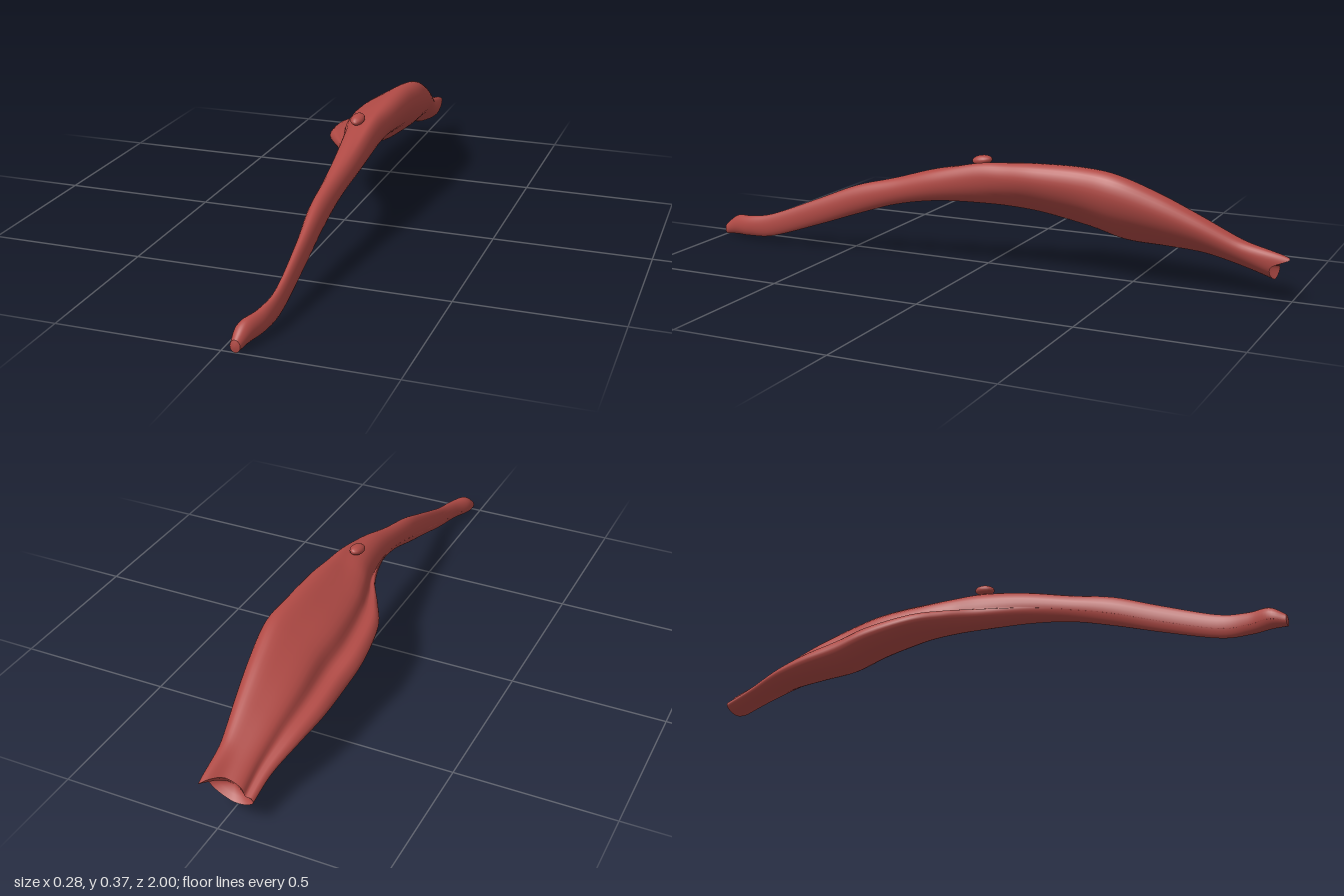
import * as THREE from 'three';

// Stations from the tendon tip to the rear end: z, xMin, xMax, yMin, yMax, belly amount (0 oval, 1 full belly)
const STATIONS = [
  [1.0, 0.026, 0.056, 0.003, 0.04, 0],
  [0.95, 0.022, 0.072, 0.008, 0.075, 0],
  [0.88, 0.048, 0.09, 0.014, 0.085, 0],
  [0.78, 0.063, 0.096, 0.027, 0.105, 0],
  [0.6, 0.055, 0.096, 0.085, 0.175, 0],
  [0.45, 0.04, 0.096, 0.137, 0.235, 0],
  [0.3, 0.035, 0.1, 0.185, 0.275, 0],
  [0.15, 0.018, 0.112, 0.21, 0.322, 0.15],
  [0.0, -0.022, 0.116, 0.21, 0.358, 0.5],
  [-0.1, -0.075, 0.12, 0.2, 0.365, 0.8],
  [-0.2, -0.12, 0.125, 0.183, 0.37, 1],
  [-0.35, -0.14, 0.128, 0.152, 0.372, 1],
  [-0.47, -0.135, 0.134, 0.124, 0.36, 1],
  [-0.6, -0.13, 0.116, 0.118, 0.312, 1],
  [-0.72, -0.113, 0.094, 0.112, 0.255, 1],
  [-0.84, -0.09, 0.072, 0.088, 0.195, 0.9],
  [-0.94, -0.085, 0.062, 0.058, 0.153, 0.8],
];

// Belly cross-section in a unit box: rolled rim on the right-hand edge, groove, high left crest, keel below
const BELLY = [
  [-1, -0.62], [-0.88, -0.3], [-0.55, -0.2], [-0.35, 0.27], [0.15, 0.68], [0.62, 0.98],
  [0.9, 0.85], [1, 0.4], [0.8, -0.15], [0.3, -0.65], [-0.15, -0.95], [-0.65, -0.92],
];
const SIDES = 48, RINGS = 96;

// Smooth cross-sections lofted along the length
function makeRings() {
  const V = (x, y, z) => new THREE.Vector3(x, y, z);
  const section = new THREE.CatmullRomCurve3(BELLY.map(([u, v]) => V(u, v, 0)), true, 'catmullrom', 0.5);
  const xs = new THREE.CatmullRomCurve3(STATIONS.map(s => V(s[0], s[1], s[2])), false, 'catmullrom', 0.5);
  const ys = new THREE.CatmullRomCurve3(STATIONS.map(s => V(s[3], s[4], s[5])), false, 'catmullrom', 0.5);
  const rings = [];
  for (let i = 0; i <= RINGS; i++) {
    const t = i / RINGS, a = xs.getPoint(t), b = ys.getPoint(t);
    const belly = THREE.MathUtils.clamp(b.z, 0, 1);
    const ring = [];
    for (let j = 0; j < SIDES; j++) {
      const p = section.getPoint(j / SIDES), len = Math.hypot(p.x, p.y);
      const u = THREE.MathUtils.lerp(p.x / len, p.x, belly);
      const v = THREE.MathUtils.lerp(p.y / len, p.y, belly);
      // pointed corner at the rear end
      const spike = 0.06 * Math.exp(-6 * ((u - 0.85) ** 2 + (v - 0.85) ** 2)) * THREE.MathUtils.smoothstep(t, 0.94, 1);
      ring.push(V((a.y + a.z) / 2 + u * (a.z - a.y) / 2, (b.x + b.y) / 2 + v * (b.y - b.x) / 2, a.x - spike));
    }
    rings.push(ring);
  }
  return rings;
}

function loft(rings) {
  const pos = [], idx = [];
  rings.forEach(r => r.forEach(p => pos.push(p.x, p.y, p.z)));
  for (let i = 0; i < rings.length - 1; i++) {
    for (let j = 0; j < SIDES; j++) {
      const k = (j + 1) % SIDES;
      const a = i * SIDES + j, b = i * SIDES + k, c = a + SIDES, d = b + SIDES;
      idx.push(a, b, c, b, d, c);
    }
  }
  const g = new THREE.BufferGeometry();
  g.setAttribute('position', new THREE.Float32BufferAttribute(pos, 3));
  g.setIndex(idx);
  g.computeVertexNormals();
  return g;
}

// Rings shrinking to the middle; depth moves the middle along z
function cap(ring, depth) {
  const mid = ring.reduce((s, p) => s.add(p), new THREE.Vector3()).divideScalar(ring.length);
  mid.z += depth;
  return loft([0, 0.35, 0.7, 0.999].map(f => ring.map(p => {
    const q = p.clone().lerp(mid, f);
    q.z = THREE.MathUtils.lerp(p.z, mid.z, Math.sin(f * Math.PI / 2));
    return q;
  })));
}

export function createModel() {
  const group = new THREE.Group();
  const red = new THREE.MeshStandardMaterial({ color: 0xb04a45 });
  red.name = 'muscle red';
  const add = (name, geometry) => {
    const mesh = new THREE.Mesh(geometry, red);
    mesh.name = name;
    group.add(mesh);
    return mesh;
  };

  const rings = makeRings();
  // tendon and belly share one continuous skin
  add('muscleBody', loft(rings));
  // hollowed rear end
  add('rearEnd', cap(rings[RINGS], 0.035));
  // tendon tip; reversed so it faces forward
  add('tendonTip', cap([...rings[0]].reverse(), 0.003));

  // small knot where the tendon meets the belly
  const knot = add('knot', new THREE.SphereGeometry(1, 16, 10));
  knot.scale.set(0.022, 0.016, 0.035);
  knot.position.set(0.045, 0.355, 0);
  knot.rotation.x = 0.15;
  return group;
}
